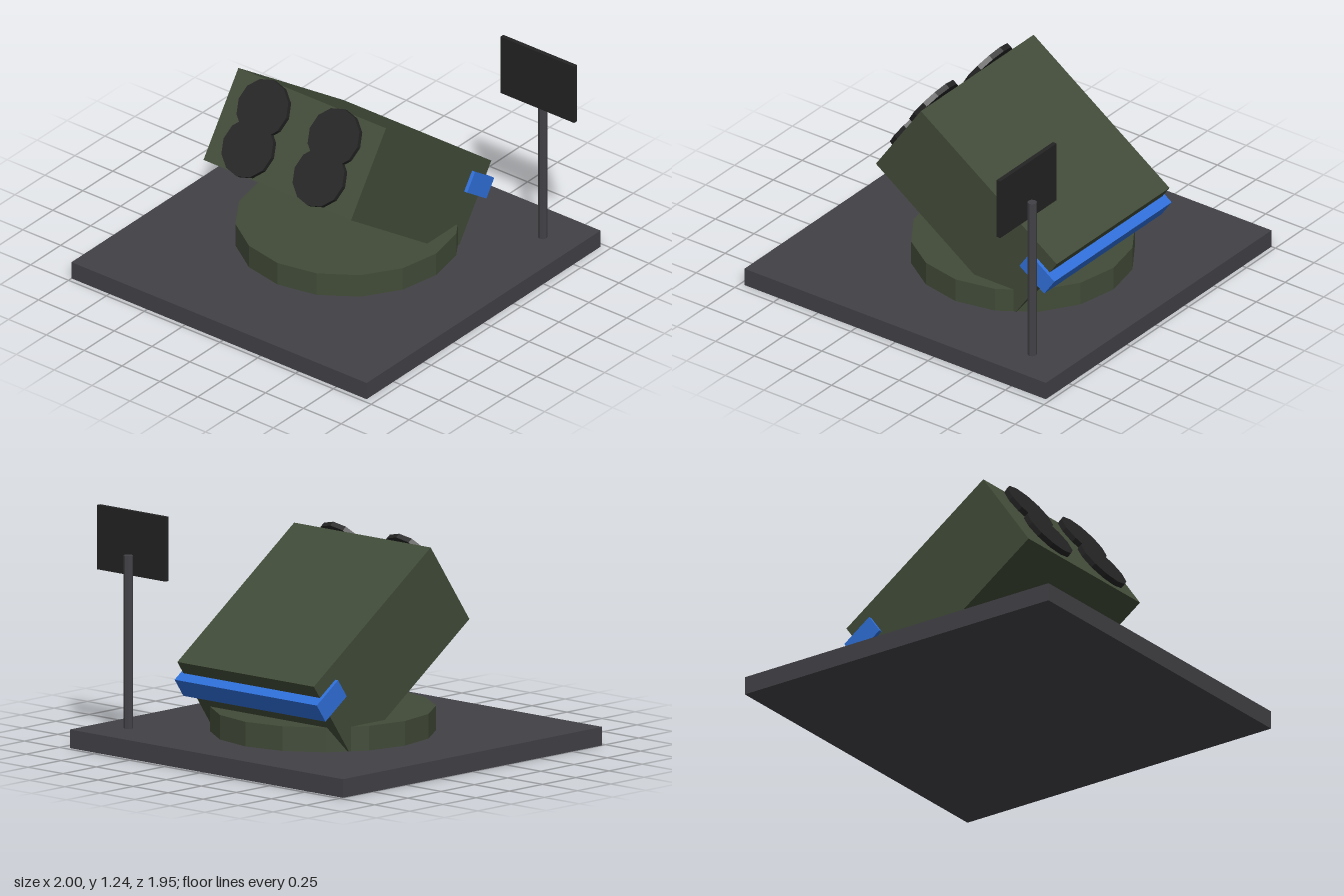
import * as THREE from 'three';

const mat = (name, color) => {
  const m = new THREE.MeshStandardMaterial({ color });
  m.name = name;
  m.flatShading = true;
  return m;
};

export function createModel() {
  const green = mat('olive green', 0x414b38);
  const grey = mat('dark grey', 0x424146);
  const black = mat('near black', 0x232323);
  const blue = mat('blue', 0x2f6fd8);

  const model = new THREE.Group();
  model.name = 'launcherPlatform';
  const add = (parent, name, geometry, material, x, y, z) => {
    const mesh = new THREE.Mesh(geometry, material);
    mesh.name = name;
    mesh.position.set(x, y, z);
    parent.add(mesh);
    return mesh;
  };
  const cx = -0.025; // centre line of the platform

  // Ground slab and turntable
  add(model, 'baseSlab', new THREE.BoxGeometry(1.95, 0.098, 1.95), grey, cx, 0.049, 0);
  add(model, 'turntable', new THREE.CylinderGeometry(0.585, 0.585, 0.13, 16), green, cx, 0.163, -0.097);

  // Tilted launcher: local +z points out of the tubes
  const launcher = new THREE.Group();
  launcher.name = 'launcher';
  launcher.position.set(cx, 0.574, -0.095);
  launcher.rotation.x = -THREE.MathUtils.degToRad(34.8);
  model.add(launcher);
  const length = 1.07;
  add(launcher, 'launcherBox', new THREE.BoxGeometry(0.975, 0.51, length), green, 0, 0, 0);
  add(launcher, 'rearBand', new THREE.BoxGeometry(1.015, 0.115, 0.195), blue, 0, 0.118, -0.492);

  // Four round tube covers, floating just ahead of the box
  const cover = new THREE.CylinderGeometry(0.157, 0.157, 0.029, 12).rotateX(Math.PI / 2);
  for (const x of [-0.235, 0.235]) {
    for (const y of [-0.11, 0.11]) {
      add(launcher, 'tubeCover', cover, black, x, y, length / 2 + 0.029);
    }
  }

  // Sign on a pole at the rear left corner
  add(model, 'signPole', new THREE.CylinderGeometry(0.025, 0.025, 0.912, 8), grey, 0.755, 0.554, -0.74);
  add(model, 'signPanel', new THREE.BoxGeometry(0.487, 0.34, 0.024), black, 0.756, 1.07, -0.705);

  return model;
}
